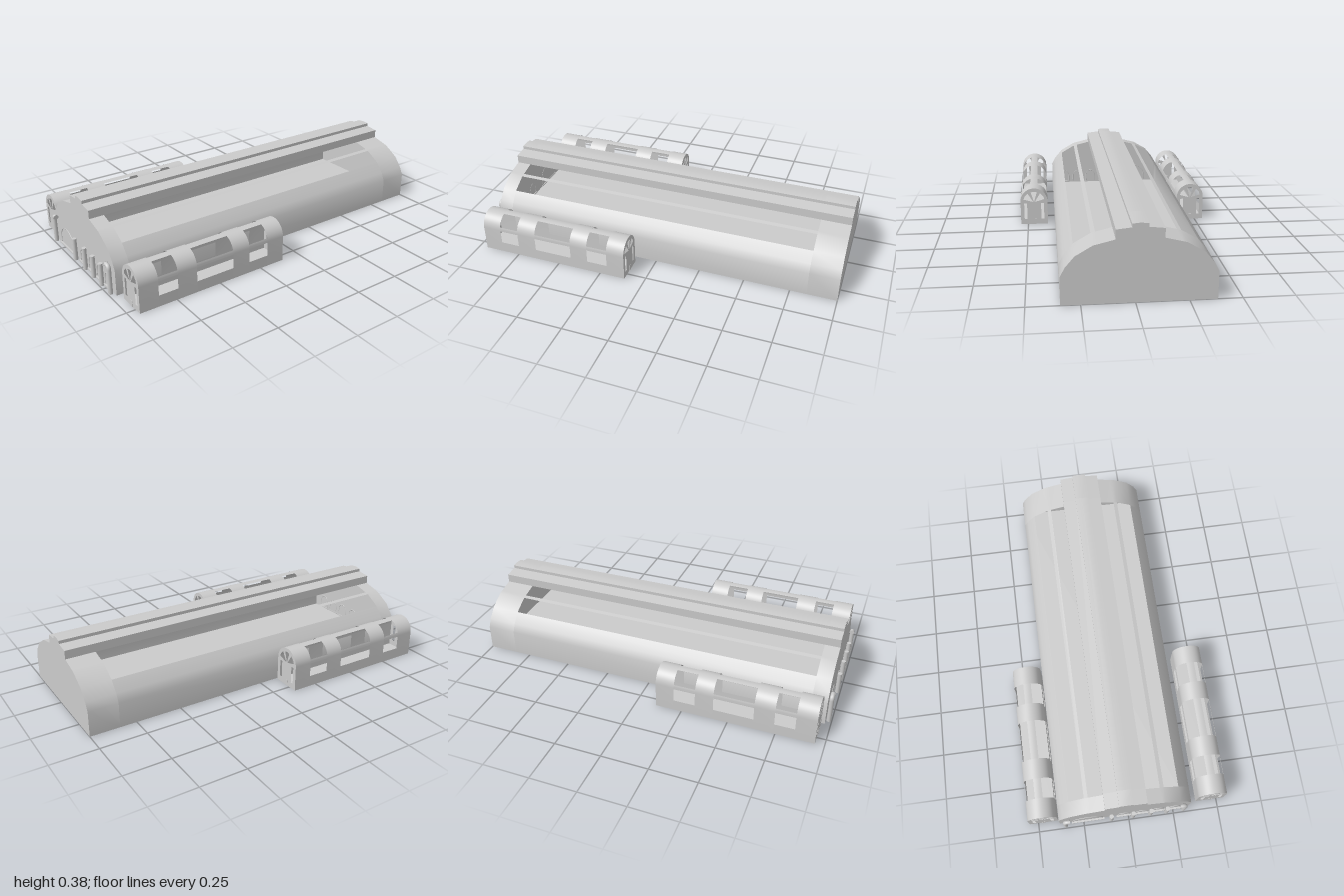
import * as THREE from 'three';
import { toCreasedNormals, mergeGeometries } from 'three/addons/utils/BufferGeometryUtils.js';

const grey = new THREE.MeshStandardMaterial({ color: 0xcccccc, side: THREE.DoubleSide });

function add(parent, name, geometry, x = 0, y = 0, z = 0) {
  const mesh = new THREE.Mesh(geometry, grey);
  mesh.name = name;
  mesh.position.set(x, y, z);
  parent.add(mesh);
  return mesh;
}

// Thin sheet: a polyline in x/y swept along z
function sheet(points, z0, z1) {
  const pos = [];
  for (let i = 0; i < points.length - 1; i++) {
    const [ax, ay] = points[i], [bx, by] = points[i + 1];
    pos.push(ax, ay, z0, ax, ay, z1, bx, by, z1, ax, ay, z0, bx, by, z1, bx, by, z0);
  }
  const g = new THREE.BufferGeometry();
  g.setAttribute('position', new THREE.Float32BufferAttribute(pos, 3));
  return toCreasedNormals(g, 0.6);
}

const mirror = (pts) => pts.map(([x, y]) => [-x, y]);
const toShape = (pts, Type = THREE.Shape) => new Type(pts.map(([x, y]) => new THREE.Vector2(x, y)));

// Shell whose z stretches are alternately whole and pierced (whole first and last)
function shell(whole, pierced, zs) {
  const parts = [];
  for (let i = 0; i < zs.length - 1; i++) {
    const lines = i % 2 ? pierced : [whole];
    lines.forEach((line) => parts.push(sheet(line, zs[i + 1], zs[i])));
  }
  return mergeGeometries(parts);
}

function floor(parent, width, z0, z1) {
  const g = new THREE.PlaneGeometry(width, z1 - z0).rotateX(Math.PI / 2);
  add(parent, 'floor', g, 0, 0.001, (z0 + z1) / 2);
}

function makeHall() {
  const hall = new THREE.Group();
  hall.name = 'hall';
  hall.position.x = -0.02;
  // Right half of the profile, from the ground to the ridge
  const wall = [[0.362, 0], [0.362, 0.137], [0.34, 0.181], [0.295, 0.235]];
  const mullion = [[0.212, 0.284], [0.191, 0.289]];
  const monitor = [[0.111, 0.309], [0.111, 0.355], [0.038, 0.363], [0.038, 0.38], [0, 0.384]];
  const half = [...wall, ...mullion, ...monitor];
  const join = (h) => [...h, ...mirror(h).reverse().slice(1)];
  const whole = join(half);
  // Two long skylight slots on each slope
  const pierced = [wall, mullion, join(monitor), mirror(mullion).reverse(), mirror(wall).reverse()];
  add(hall, 'vaultedRoof', shell(whole, pierced, [0.97, 0.89, -0.84, -1]));
  add(hall, 'frontWall', new THREE.ShapeGeometry(toShape(whole)), 0, 0, 0.97);
  add(hall, 'backWall', new THREE.ShapeGeometry(toShape(whole)).rotateY(Math.PI), 0, 0, -1);
  floor(hall, 0.724, -1, 0.97);
  return hall;
}

// Raised arch moulding with a sill, on the front wall
function makeArch(x, halfWidth, spring, top) {
  const arch = new THREE.Group();
  arch.name = 'archedDoorway';
  arch.position.set(x, 0, 0.971);
  const pts = [new THREE.Vector3(-halfWidth, 0.006, 0)];
  for (let i = 0; i <= 12; i++) {
    const a = Math.PI * (1 - i / 12);
    pts.push(new THREE.Vector3(halfWidth * Math.cos(a), spring + (top - spring) * Math.sin(a), 0));
  }
  pts.push(new THREE.Vector3(halfWidth, 0.006, 0));
  add(arch, 'archMoulding', new THREE.TubeGeometry(new THREE.CatmullRomCurve3(pts), 40, 0.0025, 6));
  add(arch, 'sill', new THREE.BoxGeometry(halfWidth * 2 + 0.02, 0.007, 0.014), 0, 0.0065, 0.002);
  return arch;
}

// Corner pipe that bends towards the middle (dir = direction of the bend)
function makePipe(x, dir) {
  const pipe = new THREE.Group();
  pipe.name = 'cornerPipe';
  pipe.position.set(x, 0, 0.985);
  const path = new THREE.CurvePath();
  const v = (px, py) => new THREE.Vector3(px * dir, py, 0);
  path.add(new THREE.LineCurve3(v(0, 0), v(0, 0.133)));
  path.add(new THREE.QuadraticBezierCurve3(v(0, 0.133), v(0, 0.153), v(0.02, 0.153)));
  path.add(new THREE.LineCurve3(v(0.02, 0.153), v(0.028, 0.153)));
  add(pipe, 'pipe', new THREE.TubeGeometry(path, 60, 0.0115, 14));
  add(pipe, 'pipeEnd', new THREE.CircleGeometry(0.013, 14).rotateY(dir * Math.PI / 2), 0.028 * dir, 0.153, 0);
  return pipe;
}

// Side pavilion with a barrel roof, windows and roof lights
function makePavilion(name, x) {
  const group = new THREE.Group();
  group.name = name;
  group.position.x = x;
  const r = 0.079, spring = 0.14, z0 = 0.108, z1 = 0.952;
  const arc = (a, b, n) => Array.from({ length: n + 1 }, (_, i) => {
    const t = a + (b - a) * i / n;
    return [r * Math.cos(t), spring + r * Math.sin(t)];
  });
  const whole = [[r, 0], ...arc(0, Math.PI, 24), [-r, 0]];
  const low = [[r, 0], [r, 0.06]];
  const eave = [[r, 0.135], ...arc(0, 0.256, 3)];
  const pierced = [low, eave, arc(1.3, Math.PI - 1.3, 4), mirror(eave).reverse(), mirror(low).reverse()];
  add(group, 'barrelShell', shell(whole, pierced, [z1, 0.848, 0.742, 0.635, 0.422, 0.323, 0.208, z0]));

  // End walls with a fan light, two tall windows and a low door
  const fan = [[-0.061, 0.152], [-0.054, 0.171], [-0.036, 0.188], [-0.005, 0.136]];
  const middle = [[-0.018, 0.195], [0, 0.199], [0.018, 0.195], [0, 0.135]];
  const tall = [[-0.058, 0.032], [-0.058, 0.128], [-0.041, 0.128], [-0.041, 0.032]];
  const end = toShape(whole);
  end.holes = [fan, mirror(fan), middle, tall, mirror(tall)].map((h) => toShape(h, THREE.Path));
  for (const [label, z, turn] of [['frontEnd', z1, 0], ['backEnd', z0, Math.PI]]) {
    add(group, label + 'Wall', new THREE.ShapeGeometry(end).rotateY(turn), 0, 0, z);
    add(group, label + 'Door', new THREE.BoxGeometry(0.021, 0.031, 0.004), 0, 0.0155, z);
  }
  floor(group, r * 2, z0, z1);
  return group;
}

export function createModel() {
  const model = new THREE.Group();
  model.name = 'stationHall';
  model.add(makeHall());

  // Front wall details
  model.add(makeArch(-0.225, 0.081, 0.045, 0.115));
  for (const x of [-0.026, 0.074, 0.166, 0.257]) model.add(makeArch(x, 0.031, 0.05, 0.085));
  for (const x of [-0.096, 0.024, 0.122, 0.212]) {
    add(model, 'post', new THREE.CylinderGeometry(0.012, 0.012, 0.123, 16), x, 0.0615, 0.985);
  }
  model.add(makePipe(-0.35, 1), makePipe(0.308, -1));

  model.add(makePavilion('leftPavilion', 0.463), makePavilion('rightPavilion', -0.469));
  return model;
}
